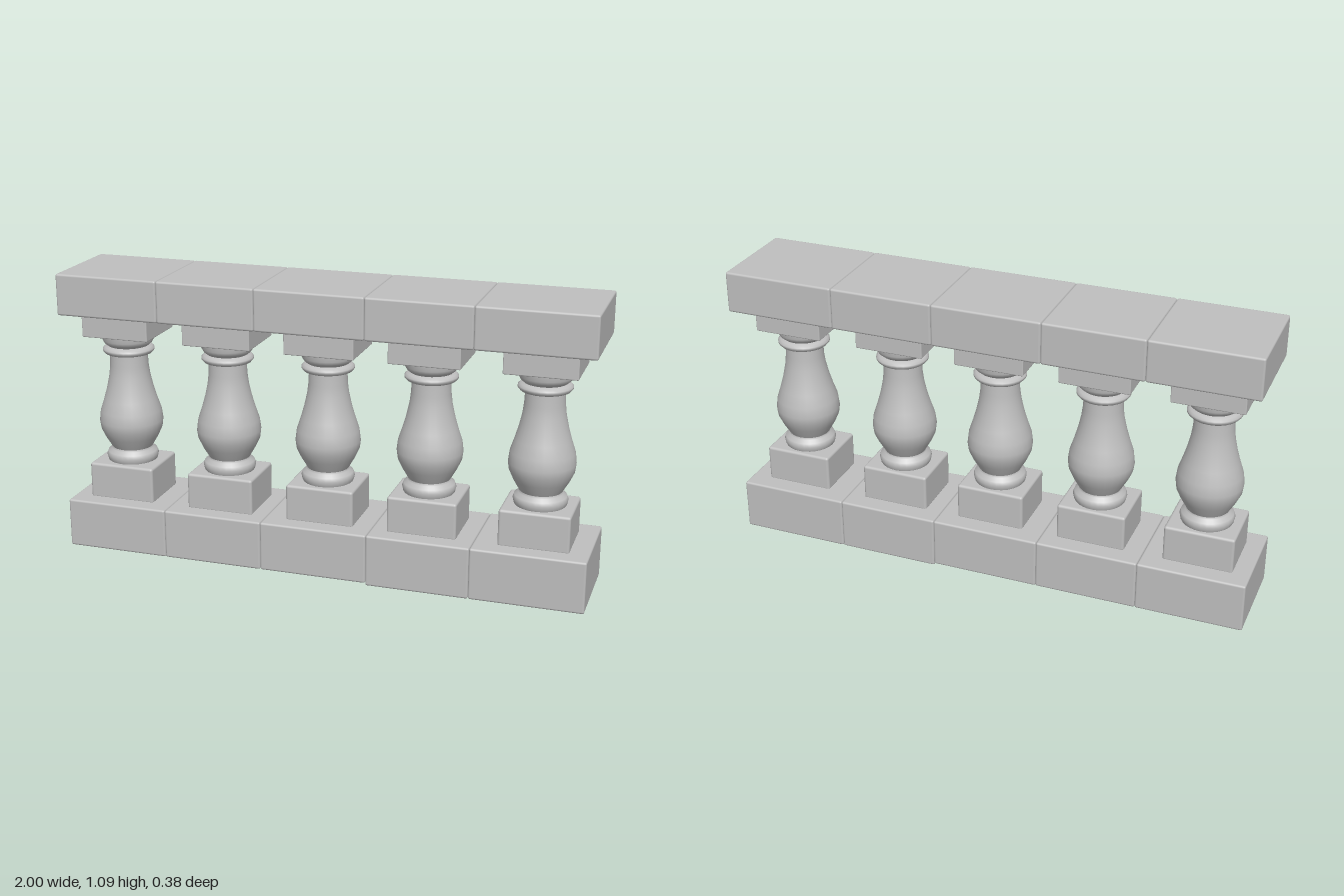
import * as THREE from 'three';
import { RoundedBoxGeometry } from 'three/addons/geometries/RoundedBoxGeometry.js';

export function createModel() {
  const model = new THREE.Group();
  model.name = 'balustrade';
  const stone = new THREE.MeshStandardMaterial({ color: 0xbfbfbf });
  stone.name = 'stone';

  function block(name, x0, x1, y0, y1, depth, z = 0, bevel = 0.008) {
    const mesh = new THREE.Mesh(new RoundedBoxGeometry(x1 - x0, y1 - y0, depth, 2, bevel), stone);
    mesh.position.set((x0 + x1) / 2, (y0 + y1) / 2, z);
    mesh.name = name;
    model.add(mesh);
  }

  // Rails are rows of separate blocks with slightly uneven joints
  const baseJoints = [-1, -0.6, -0.215, 0.195, 0.58, 1];
  const copingJoints = [-1, -0.6, -0.225, 0.185, 0.575, 1];
  for (let i = 0; i < 5; i++) {
    block('baseBlock', baseJoints[i], baseJoints[i + 1], i > 2 ? 0 : 0.008, 0.197, 0.364);
    block('copingBlock', copingJoints[i], copingJoints[i + 1], 0.93, 1.087, 0.38);
  }

  // Turned shaft: lower ring, belly, neck and two upper rings
  const lowerRing = [[0.09, 0.325], [0.096, 0.335], [0.1, 0.352], [0.095, 0.366], [0.08, 0.376], [0.078, 0.384]];
  const belly = [[0.078, 0.384], [0.102, 0.425], [0.118, 0.46], [0.122, 0.49], [0.117, 0.53], [0.102, 0.575],
    [0.089, 0.62], [0.078, 0.67], [0.073, 0.71], [0.071, 0.757]];
  const upperRing = [[0.071, 0.757], [0.09, 0.759], [0.098, 0.768], [0.098, 0.776], [0.09, 0.783], [0.078, 0.788]];
  const collar = [[0.078, 0.788], [0.09, 0.798], [0.098, 0.812], [0.099, 0.84]];
  const sections = { lowerRing, belly, upperRing, collar };
  const turned = {};
  for (const [name, points] of Object.entries(sections)) {
    turned[name] = new THREE.LatheGeometry(points.map(([r, y]) => new THREE.Vector2(r, y)), 28);
  }

  // Balusters, each with a square plinth and capital
  for (const x of [-0.805, -0.4, -0.005, 0.385, 0.797]) {
    block('plinth', x - 0.13, x + 0.13, 0.19, 0.332, 0.226, 0.002, 0.01);
    block('capital', x - 0.132, x + 0.132, 0.835, 0.935, 0.24, 0, 0.004);
    const baluster = new THREE.Group();
    baluster.name = 'baluster';
    baluster.position.x = x;
    for (const [name, geometry] of Object.entries(turned)) {
      const mesh = new THREE.Mesh(geometry, stone);
      mesh.name = name;
      baluster.add(mesh);
    }
    model.add(baluster);
  }
  return model;
}
